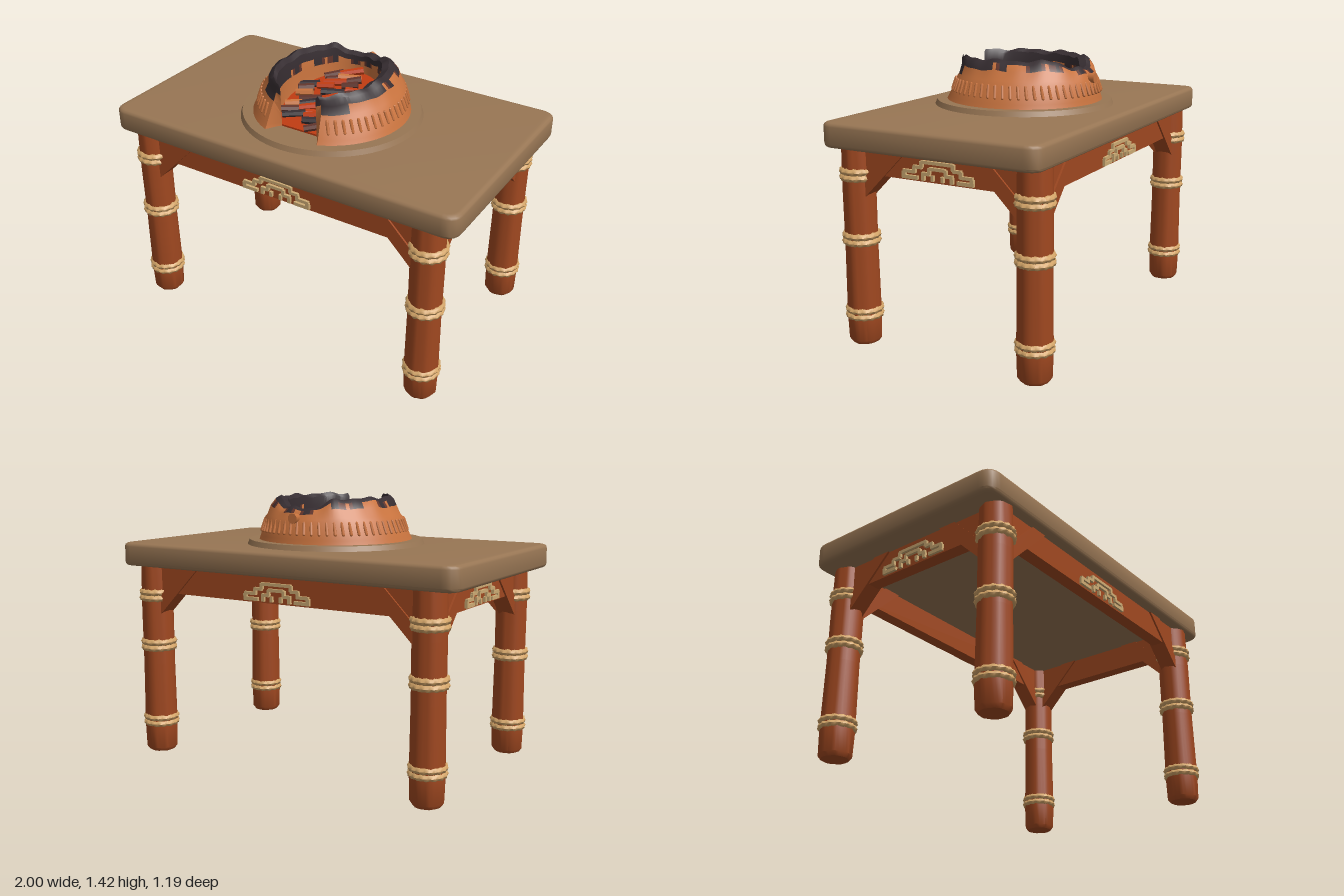
import * as THREE from 'three';
import { toCreasedNormals } from 'three/addons/utils/BufferGeometryUtils.js';

const mat = (name, color) => {
  const m = new THREE.MeshStandardMaterial({ color });
  m.name = name;
  return m;
};

export function createModel() {
  const root = new THREE.Group();
  root.name = 'fireTable';
  const stone = mat('stone', 0x987654), wood = mat('wood', 0xa04820), rope = mat('rope', 0xd2a468);
  const inlay = mat('inlay', 0xcdab74), clay = mat('clay', 0xc8733e), soot = mat('soot', 0x362d31);
  const scorch = mat('scorch', 0x60342b), ember = mat('ember', 0xc03c12);

  let seed = 7;
  const rand = () => (seed = (seed * 16807) % 2147483647) / 2147483647;
  const add = (name, geo, material, x = 0, y = 0, z = 0, parent = root) => {
    const m = new THREE.Mesh(geo, material);
    m.name = name;
    m.position.set(x, y, z);
    parent.add(m);
    return m;
  };

  // Table slab with rounded corners and worn edges
  const w = 0.975, d = 0.572, r = 0.05;
  const s = new THREE.Shape();
  s.moveTo(-w + r, -d); s.lineTo(w - r, -d); s.quadraticCurveTo(w, -d, w, -d + r);
  s.lineTo(w, d - r); s.quadraticCurveTo(w, d, w - r, d);
  s.lineTo(-w + r, d); s.quadraticCurveTo(-w, d, -w, d - r);
  s.lineTo(-w, -d + r); s.quadraticCurveTo(-w, -d, -w + r, -d);
  const slab = new THREE.ExtrudeGeometry(s, {
    depth: 0.085, bevelSize: 0.025, bevelThickness: 0.02, bevelSegments: 3, curveSegments: 5,
  });
  slab.rotateX(-Math.PI / 2);
  add('slab', toCreasedNormals(slab, 0.7), stone, 0, 1.052, 0);
  add('hearthRing', new THREE.CylinderGeometry(0.465, 0.478, 0.03, 64), stone, 0, 1.168, 0.02);

  // Legs with hewn, slightly uneven sides
  const legGeo = new THREE.LatheGeometry([
    [0, 0], [0.068, 0], [0.082, 0.02], [0.086, 0.15], [0.082, 0.5], [0.083, 0.8], [0.08, 1.045],
  ].map(p => new THREE.Vector2(...p)), 28);
  const lp = legGeo.attributes.position;
  for (let i = 0; i < lp.count; i++) {
    const a = Math.atan2(lp.getZ(i), lp.getX(i));
    const k = 1 + 0.025 * Math.sin(7 * a) + 0.015 * Math.cos(11 * a);
    lp.setX(i, lp.getX(i) * k);
    lp.setZ(i, lp.getZ(i) * k);
  }
  const leg = toCreasedNormals(legGeo, 0.7);

  // One coil of two-strand rope
  const coil = new THREE.TorusGeometry(0.079, 0.0175, 8, 56);
  const cp = coil.attributes.position, cuv = coil.attributes.uv;
  for (let i = 0; i < cp.count; i++) {
    const u = cuv.getX(i) * Math.PI * 2, v = cuv.getY(i) * Math.PI * 2;
    const t = 0.0175 * (1 + 0.17 * Math.cos(2 * v + 14 * u));
    const R = 0.079 + t * Math.cos(v);
    cp.setXYZ(i, R * Math.cos(u), R * Math.sin(u), t * Math.sin(v));
  }
  coil.rotateX(Math.PI / 2);
  coil.computeVertexNormals();

  for (const x of [-0.83, 0.83]) for (const z of [-0.495, 0.495]) {
    add('leg', leg, wood, x, 0, z).rotation.y = x * 3 + z;
    for (const y of z > 0 ? [0.163, 0.555, 0.885] : [0.175, 0.6, 0.875]) {
      for (const dy of [-0.016, 0.016]) add('ropeBinding', coil, rope, x, y + dy, z).rotation.y = dy * 8 + y;
    }
  }

  // Stepped fret ornament: [x, y, width, height], right half mirrored
  const fret = [
    [0.155, 0.912, 0.09, 0.018], [0.19, 0.926, 0.02, 0.024], [0.16, 0.94, 0.07, 0.016],
    [0.13, 0.95, 0.018, 0.03], [0.11, 0.965, 0.05, 0.016], [0.088, 0.98, 0.018, 0.03],
    [0.045, 0.992, 0.09, 0.016], [0.08, 0.918, 0.018, 0.03], [0.065, 0.936, 0.045, 0.016],
    [0.046, 0.95, 0.016, 0.03], [0.022, 0.963, 0.046, 0.016], [0.028, 0.918, 0.016, 0.028],
  ];

  // Aprons: beam, braces and ornament, one per side
  const apron = (length, reach, offset, angle) => {
    const g = new THREE.Group();
    g.name = 'apron';
    g.rotation.y = angle;
    root.add(g);
    add('beam', new THREE.BoxGeometry(length, 0.145, 0.07), wood, 0, 0.967, offset, g);
    for (const sx of [-1, 1]) {
      const b = new THREE.Shape();
      const e = reach + 0.02;
      [[e, 0.765], [reach - 0.25, 1.035], [reach - 0.15, 1.035], [e, 0.865]]
        .forEach(([x, y], i) => (i ? b.lineTo(sx * x, y) : b.moveTo(sx * x, y)));
      add('brace', new THREE.ExtrudeGeometry(b, { depth: 0.09, bevelEnabled: false }), wood, 0, 0, offset - 0.045, g);
      for (const [x, y, bw, bh] of fret) {
        add('fretOrnament', new THREE.BoxGeometry(bw, bh, 0.018), inlay, sx * x, y, offset + 0.04, g);
      }
    }
  };
  apron(1.6, 0.755, 0.5, 0);
  apron(1.6, 0.755, 0.5, Math.PI);
  apron(0.95, 0.42, 0.83, Math.PI / 2);
  apron(0.95, 0.42, 0.83, -Math.PI / 2);

  // Horseshoe fire bowl: profile rows of [x radius, z radius, z centre, y]
  const rows = [
    [0.415, 0.42, 0.02, 1.17], [0.4, 0.405, 0.015, 1.205], [0.365, 0.378, 0, 1.3], [0.35, 0.37, 0, 1.315],
    [0.325, 0.36, 0, 1.36], [0.3, 0.352, 0.012, 1.392], [0.27, 0.342, 0.022, 1.408], [0.24, 0.325, 0.04, 1.392],
    [0.232, 0.325, 0.04, 1.35], [0.23, 0.325, 0.04, 1.31], [0.225, 0.325, 0.04, 1.25], [0.22, 0.325, 0.04, 1.2],
    [0.215, 0.325, 0.04, 1.17],
  ];
  const N = rows.length, SEG = 96, pos = [];
  const point = (f, j) => {
    const [rx, rz, cz, y] = rows[j], a = 0.38 + 0.01 * j;
    const t = a + f * (Math.PI * 2 - 2 * a);
    const high = Math.max(0, (y - 1.28) / 0.13);
    const back = THREE.MathUtils.smoothstep(-Math.cos(t), 0.78, 0.98);
    const wave = 0.005 * Math.sin(9 * t) + 0.004 * Math.sin(17 * t + 1);
    return [rx * Math.sin(t), y + high * (wave - 0.045 * back), cz + rz * Math.cos(t)];
  };
  for (let i = 0; i <= SEG; i++) for (let j = 0; j < N; j++) pos.push(...point(i / SEG, j));
  const faces = [[], [], []];
  const rowColour = (j, f) => {
    const n = Math.sin(f * 41) + Math.sin(f * 83 + 1), end = Math.min(f, 1 - f);
    if (j >= 5 && j <= 7) return 1;
    if (j === 4 || j === 8) return end < 0.2 || n > 0.8 ? 1 : n > 0.1 ? 2 : 0;
    return j === 3 && end < 0.07 ? 1 : 0;
  };
  for (let i = 0; i < SEG; i++) for (let j = 0; j < N - 1; j++) {
    const a = i * N + j, b = a + N;
    faces[rowColour(j, (i + 0.5) / SEG)].push(a, b, b + 1, a, b + 1, a + 1);
  }
  // Cut ends of the horseshoe
  for (let j = 0; j < (N - 1) / 2; j++) {
    const f = faces[j >= 4 ? 1 : 0], k = N - 1 - j, e = SEG * N;
    f.push(j, j + 1, k, e + j, e + k, e + j + 1);
    if (j + 1 < k - 1) f.push(j + 1, k - 1, k, e + j + 1, e + k, e + k - 1);
  }
  const bowl = new THREE.BufferGeometry();
  bowl.setAttribute('position', new THREE.Float32BufferAttribute(pos, 3));
  bowl.setIndex(faces.flat());
  let start = 0;
  faces.forEach((f, m) => { bowl.addGroup(start, f.length, m); start += f.length; });
  add('fireBowl', toCreasedNormals(bowl, 0.6), [clay, soot, scorch]);

  // Pressed ribs round the bowl and a small spout at the back
  const rib = new THREE.CapsuleGeometry(0.008, 0.06, 3, 6);
  for (let i = 0; i < 52; i++) {
    const t = 0.5 + (i / 51) * (Math.PI * 2 - 1);
    const m = add('bowlRib', rib, clay, 0.379 * Math.sin(t), 1.262, 0.006 + 0.389 * Math.cos(t));
    m.rotation.set(-0.33, t, 0.12, 'YXZ');
  }
  add('spout', new THREE.CylinderGeometry(0.02, 0.027, 0.09, 10), clay, 0, 1.312, -0.352).rotation.x = Math.PI / 2;

  // Sloping ember bed filling the bowl
  const bedY = z => 1.225 - 0.1 * z;
  const bed = new THREE.Shape();
  for (let i = 0; i <= 40; i++) {
    const [x, , z] = point(i / 40, 10);
    i ? bed.lineTo(x, -z) : bed.moveTo(x, -z);
  }
  const bedGeo = new THREE.ExtrudeGeometry(bed, { depth: 0.03, bevelEnabled: false });
  bedGeo.rotateX(-Math.PI / 2);
  const bp = bedGeo.attributes.position;
  for (let i = 0; i < bp.count; i++) bp.setY(i, bp.getY(i) > 0.01 ? bedY(bp.getZ(i)) : 1.175);
  bedGeo.computeVertexNormals();
  add('emberBed', bedGeo, ember);

  // Charred sticks laid diagonally over the embers
  const stick = toCreasedNormals(new THREE.CylinderGeometry(0.018, 0.021, 1, 7), 0.4);
  const colours = [scorch, ember, scorch, clay, soot, ember, scorch];
  let count = 0;
  for (let v = -0.3; v <= 0.32; v += 0.047) for (let u = -0.32; u <= 0.33; u += 0.105) {
    const a = 0.55 + (rand() - 0.5) * 0.35, uu = u + (rand() - 0.5) * 0.06;
    const x = uu * Math.cos(0.55) + v * Math.sin(0.55);
    const z = 0.03 - uu * Math.sin(0.55) + v * Math.cos(0.55);
    if ((x / 0.19) ** 2 + ((z - 0.03) / 0.29) ** 2 > 1) continue;
    const m = add('stick', stick, colours[count++ % colours.length], x, bedY(z) + 0.008 + rand() * 0.018, z);
    m.scale.y = 0.08 + rand() * 0.05;
    m.rotation.set(0, a, Math.PI / 2 + (rand() - 0.5) * 0.3, 'YXZ');
  }
  return root;
}
